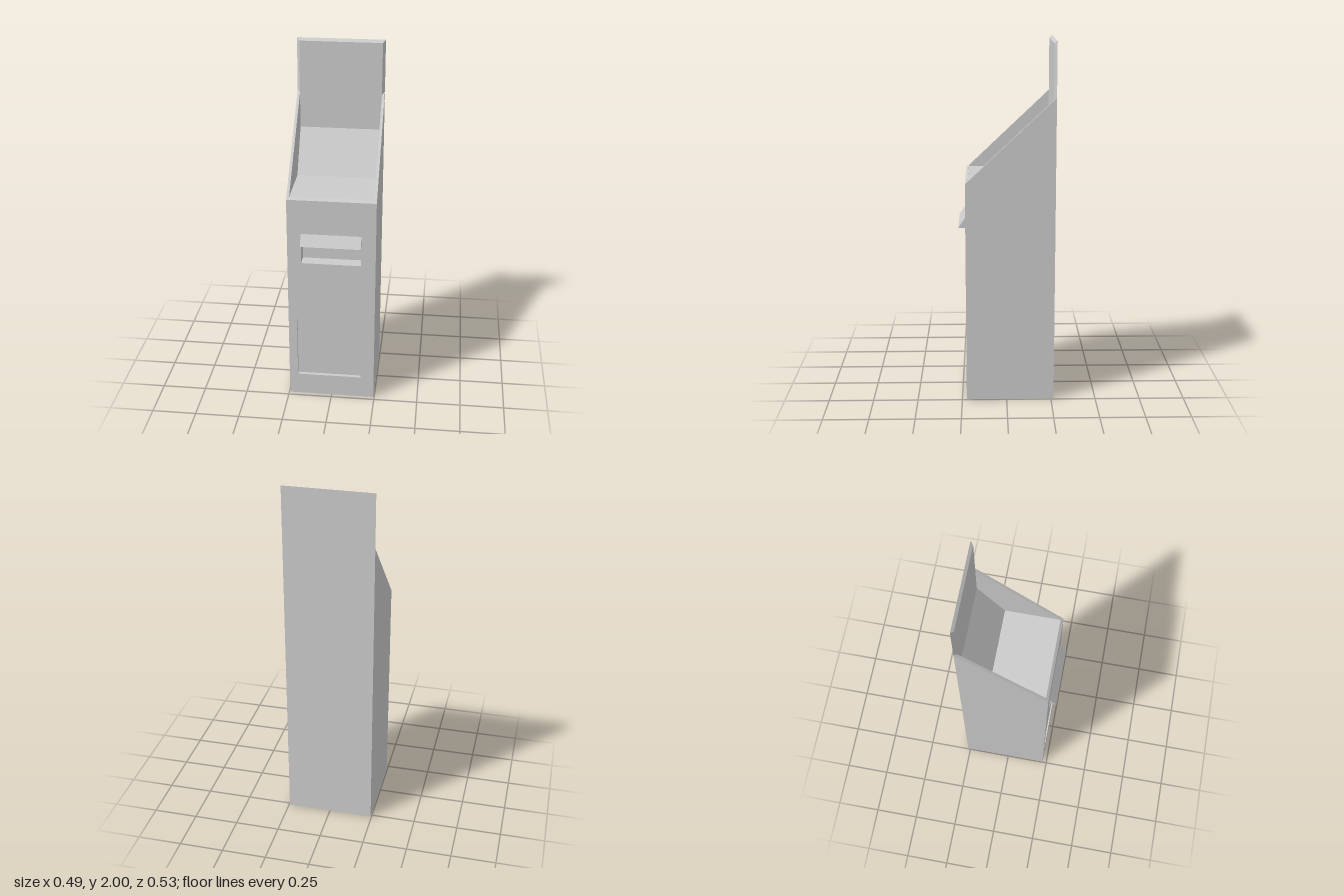
import * as THREE from 'three';

export function createModel() {
  const group = new THREE.Group();
  const grey = new THREE.MeshStandardMaterial({ color: 0xcccccc });
  grey.name = 'grey';

  const W = 0.245, T = 0.015;        // half width, sheet thickness
  const inner = W - T;
  const front = 0.225, back = -0.265;
  const frontTop = 1.24, backTop = 1.705;

  function add(name, geometry) {
    const mesh = new THREE.Mesh(geometry, grey);
    mesh.name = name;
    group.add(mesh);
    return mesh;
  }

  // Box given by its limits on each axis
  function box(name, x0, x1, y0, y1, z0, z1) {
    const g = new THREE.BoxGeometry(x1 - x0, y1 - y0, z1 - z0);
    g.translate((x0 + x1) / 2, (y0 + y1) / 2, (z0 + z1) / 2);
    return add(name, g);
  }

  // Side profile of [z, y] points, extruded from x0 to x1
  function prism(name, points, x0, x1) {
    const shape = new THREE.Shape(points.map(([z, y]) => new THREE.Vector2(z, y)));
    const g = new THREE.ExtrudeGeometry(shape, { depth: x1 - x0, bevelEnabled: false });
    g.rotateY(-Math.PI / 2);
    g.translate(x1, 0, 0);
    return add(name, g);
  }

  const rect = (path, x0, x1, y0, y1) =>
    path.moveTo(x0, y0).lineTo(x1, y0).lineTo(x1, y1).lineTo(x0, y1).closePath();

  // Side walls with sloping tops
  const side = [[front, 0], [front, frontTop], [back, backTop], [back, 0]];
  prism('rightWall', side, -W, -inner);
  prism('leftWall', side, inner, W);

  // Front plate with openings for the slot and the door
  const slot = [-0.168, 0.165, 0.86, 0.98];
  const door = [-0.197, 0.17, 0.13, 0.5];
  const plate = rect(new THREE.Shape(), -inner, inner, 0, frontTop);
  plate.holes.push(rect(new THREE.Path(), ...slot), rect(new THREE.Path(), ...door));
  const plateDepth = 0.07;
  const plateGeometry = new THREE.ExtrudeGeometry(plate, { depth: plateDepth, bevelEnabled: false });
  plateGeometry.translate(0, 0, front - plateDepth);
  add('frontPlate', plateGeometry);
  box('slotBack', ...slot, front - plateDepth - 0.01, front - plateDepth);
  box('doorPanel', ...door, front - 0.04, front - 0.02);

  // Hood over the slot
  prism('slotHood', [[front, 0.98], [0.265, 0.98], [front, 1.04]], slot[0], slot[1]);

  // Sloping front rim, flat deck and inclined screen
  prism('frontRim', [[front, frontTop], [front - T, 1.254], [front - T, frontTop]], -inner, inner);
  prism('deckAndScreen', [
    [front - T, 1.2], [front - T, 1.25], [-0.1, 1.25], [back + T, 1.486], [back + T, 1.2],
  ], -inner, inner);

  // Back and base
  box('backPlate', -inner, inner, 0, 1.7, back, back + T);
  box('basePlate', -inner, inner, 0, 0.01, back + T, front - plateDepth);

  // Upper back panel, its front edges chamfered inwards
  const header = box('headerPanel', -W, W, 1.691, 2, back, back + T);
  const p = header.geometry.attributes.position;
  for (let i = 0; i < p.count; i++) {
    if (p.getZ(i) > back + T / 2) {
      p.setX(i, Math.sign(p.getX(i)) * inner);
      if (p.getY(i) > 1.9) p.setY(i, 2 - T);
    }
  }
  header.geometry.computeVertexNormals();

  return group;
}
